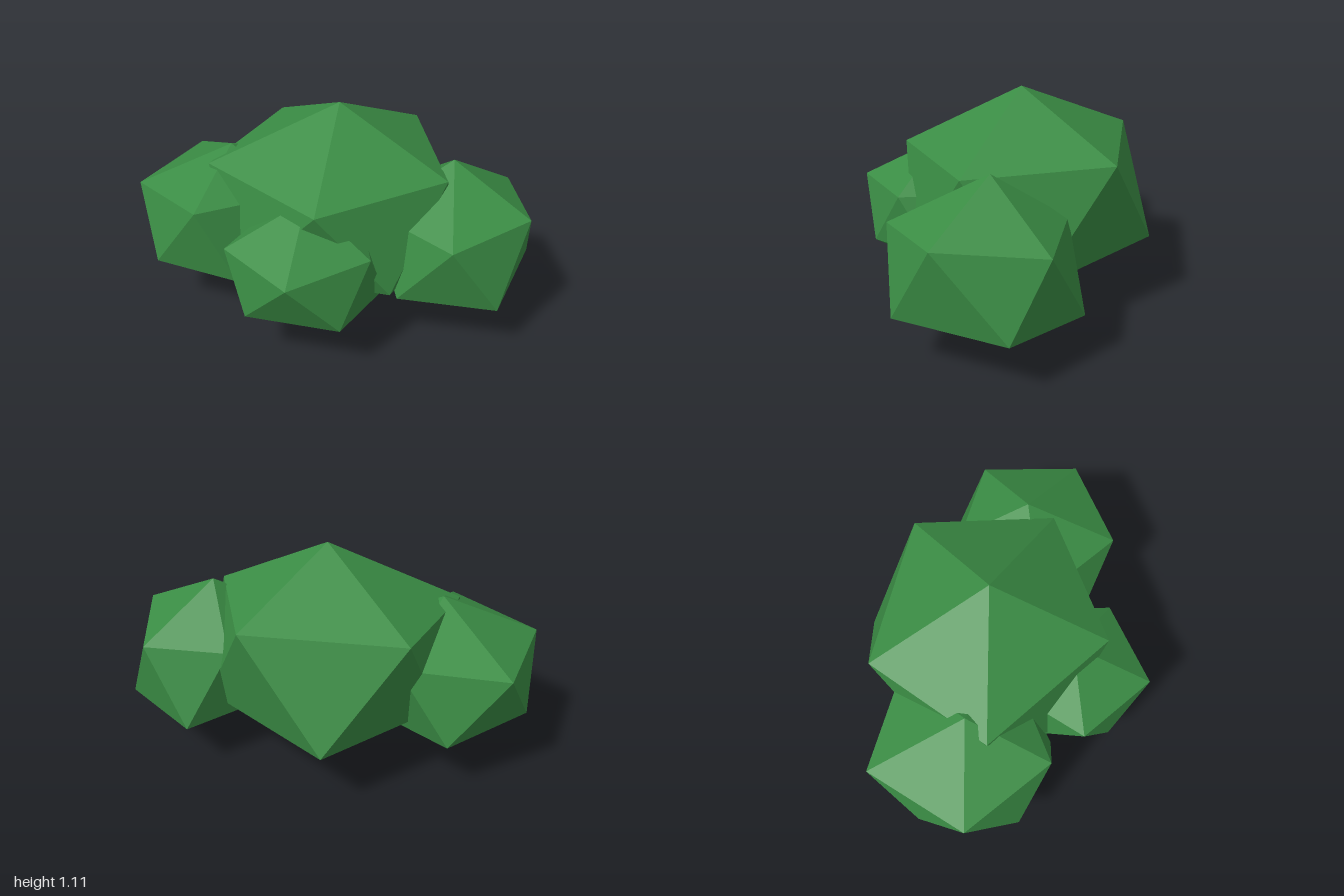
import * as THREE from 'three';
import { ConvexGeometry } from 'three/addons/geometries/ConvexGeometry.js';

// One faceted leaf clump: two tips joined by an upper and a lower five-point ring.
function makeClump(name, material, top, upperRing, lowerRing, bottom) {
  const points = [top, ...upperRing, ...lowerRing, bottom].map((p) => new THREE.Vector3(...p));
  const mesh = new THREE.Mesh(new ConvexGeometry(points), material);
  mesh.name = name;
  return mesh;
}

export function createModel() {
  const bush = new THREE.Group();
  bush.name = 'bush';
  const leafGreen = new THREE.MeshStandardMaterial({ color: 0x3a8c44, flatShading: true });
  leafGreen.name = 'leaf green';

  // Large middle clump
  bush.add(makeClump('mainClump', leafGreen,
    [0, 1.11, -0.11],
    [[0.6, 0.82, -0.12], [0.19, 0.79, 0.46], [-0.57, 0.78, 0.25], [-0.56, 0.83, -0.44], [0.17, 0.85, -0.69]],
    [[0.48, 0.32, 0.23], [-0.24, 0.32, 0.43], [-0.6, 0.32, -0.1], [-0.26, 0.33, -0.73], [0.5, 0.33, -0.47]],
    [-0.03, 0.04, -0.11]));

  // Clump on the +x side
  bush.add(makeClump('leftClump', leafGreen,
    [0.57, 0.87, -0.26],
    [[1, 0.67, -0.22], [0.76, 0.62, 0.17], [0.26, 0.62, 0.02], [0.33, 0.63, -0.53], [0.74, 0.63, -0.65]],
    [[0.96, 0.27, 0.02], [0.5, 0.28, 0.19], [0.2, 0.28, -0.24], [0.49, 0.25, -0.7], [0.92, 0.28, -0.55]],
    [0.63, 0.09, -0.29]));

  // Clump on the -x side
  bush.add(makeClump('rightClump', leafGreen,
    [-0.53, 0.84, 0.1],
    [[-0.14, 0.65, 0.1], [-0.45, 0.66, 0.54], [-0.95, 0.62, 0.37], [-0.97, 0.62, -0.19], [-0.47, 0.64, -0.34]],
    [[-0.28, 0.26, 0.45], [-0.73, 0.29, 0.54], [-1, 0.29, 0.1], [-0.73, 0.28, -0.34], [-0.24, 0.27, -0.17]],
    [-0.59, 0, 0.07]));

  // Small front clump
  bush.add(makeClump('frontClump', leafGreen,
    [0.07, 0.79, 0.33],
    [[0.43, 0.58, 0.35], [0.2, 0.56, 0.73], [-0.23, 0.57, 0.6], [-0.24, 0.57, 0.12], [0.17, 0.57, -0.03]],
    [[0.38, 0.28, 0.55], [-0.07, 0.28, 0.68], [-0.28, 0.25, 0.35], [-0.05, 0.28, -0.02], [0.41, 0.28, 0.15]],
    [0.1, 0.04, 0.32]));

  return bush;
}
